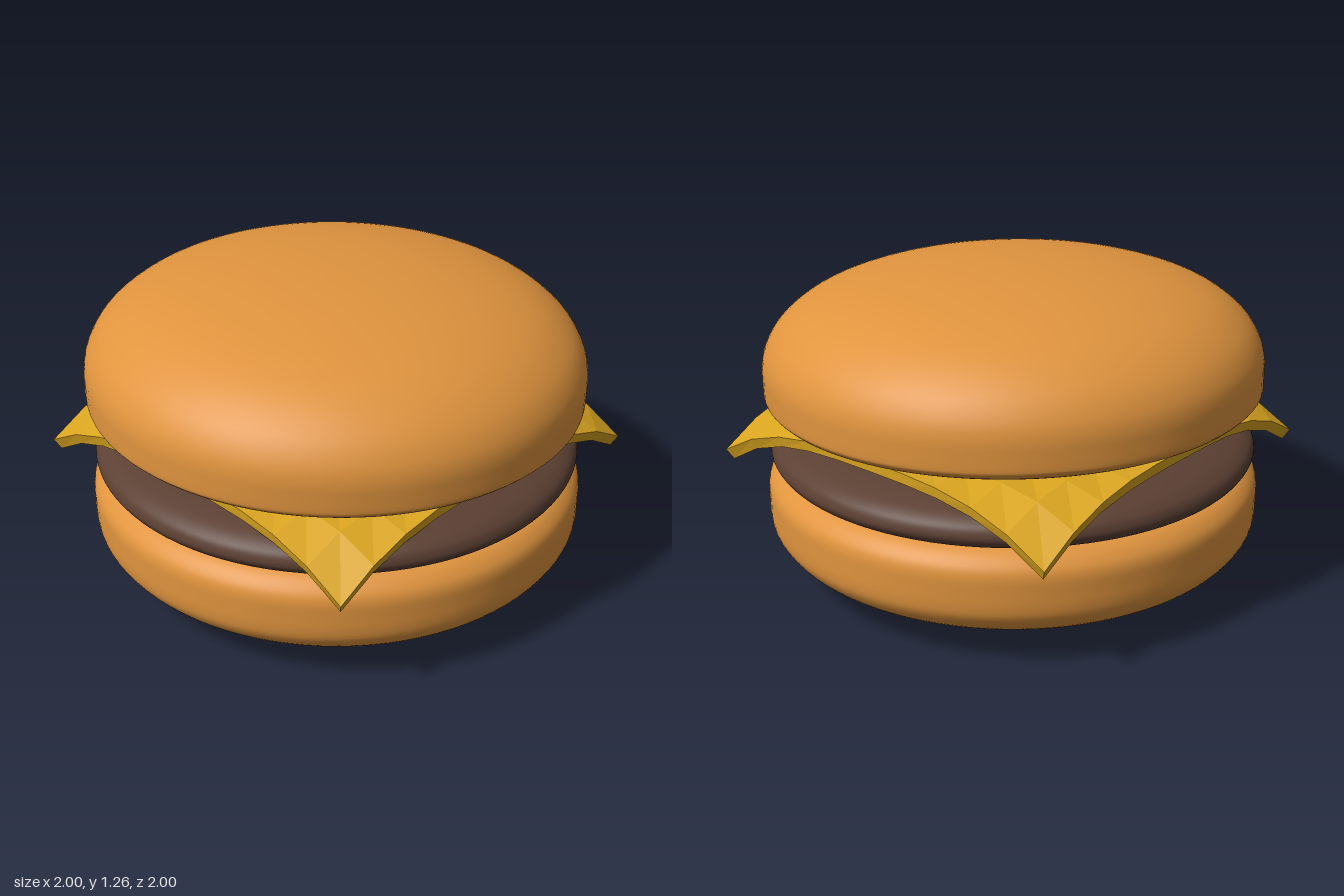
import * as THREE from 'three';

const BUN = 0xe0943e, PATTY = 0x5c4033, CHEESE = 0xdaa520;

// Smooth round body spun from a profile listed from bottom centre to top centre
function roundPart(name, color, profile) {
  const curve = new THREE.SplineCurve(profile.map(([r, y]) => new THREE.Vector2(r, y)));
  const points = curve.getPoints(56);
  points.forEach((p) => { p.x = Math.min(1, Math.max(0, p.x)); });
  const mesh = new THREE.Mesh(
    new THREE.LatheGeometry(points, 96),
    new THREE.MeshStandardMaterial({ color })
  );
  mesh.name = name;
  return mesh;
}

// Square slice whose corners droop with distance from the centre
function cheeseSlice() {
  const size = 1.65, thick = 0.042;
  const geometry = new THREE.BoxGeometry(size, thick, size, 10, 1, 10);
  const pos = geometry.attributes.position;
  for (let i = 0; i < pos.count; i++) {
    const x = pos.getX(i), z = pos.getZ(i), y = pos.getY(i);
    const t = Math.max(0, (Math.hypot(x, z) - 0.8) / 0.367);
    const inset = y < 0 ? 1 - 0.025 * t : 1;
    pos.setXYZ(i, x * inset, y - 0.18 * Math.pow(t, 1.9), z * inset);
  }
  geometry.computeVertexNormals();
  const mesh = new THREE.Mesh(
    geometry,
    new THREE.MeshStandardMaterial({ color: CHEESE, flatShading: true })
  );
  mesh.name = 'cheeseSlice';
  mesh.position.y = 0.66;
  return mesh;
}

export function createModel() {
  const burger = new THREE.Group();
  burger.name = 'burger';

  burger.add(roundPart('bottomBun', BUN, [
    [0, 0.003], [0.3, 0.01], [0.58, 0.033], [0.78, 0.075], [0.92, 0.14], [0.985, 0.21],
    [1, 0.28], [1, 0.37], [0.98, 0.425], [0.92, 0.468], [0.8, 0.48], [0.4, 0.48], [0, 0.48],
  ]));

  burger.add(roundPart('patty', PATTY, [
    [0, 0.46], [0.45, 0.46], [0.85, 0.463], [0.94, 0.48], [0.975, 0.51], [0.98, 0.54],
    [0.96, 0.575], [0.9, 0.605], [0.78, 0.627], [0.55, 0.638], [0, 0.642],
  ]));

  burger.add(cheeseSlice());

  // Top bun sits with a slight forward tilt
  const topBun = roundPart('topBun', BUN, [
    [0, -0.3], [0.5, -0.287], [0.8, -0.265], [0.94, -0.235], [0.99, -0.205], [1, -0.175],
    [1, -0.09], [0.98, -0.01], [0.92, 0.075], [0.8, 0.16], [0.62, 0.225], [0.4, 0.268],
    [0.2, 0.288], [0, 0.295],
  ]);
  topBun.position.y = 0.97;
  topBun.rotation.x = 0.02;
  burger.add(topBun);

  return burger;
}
